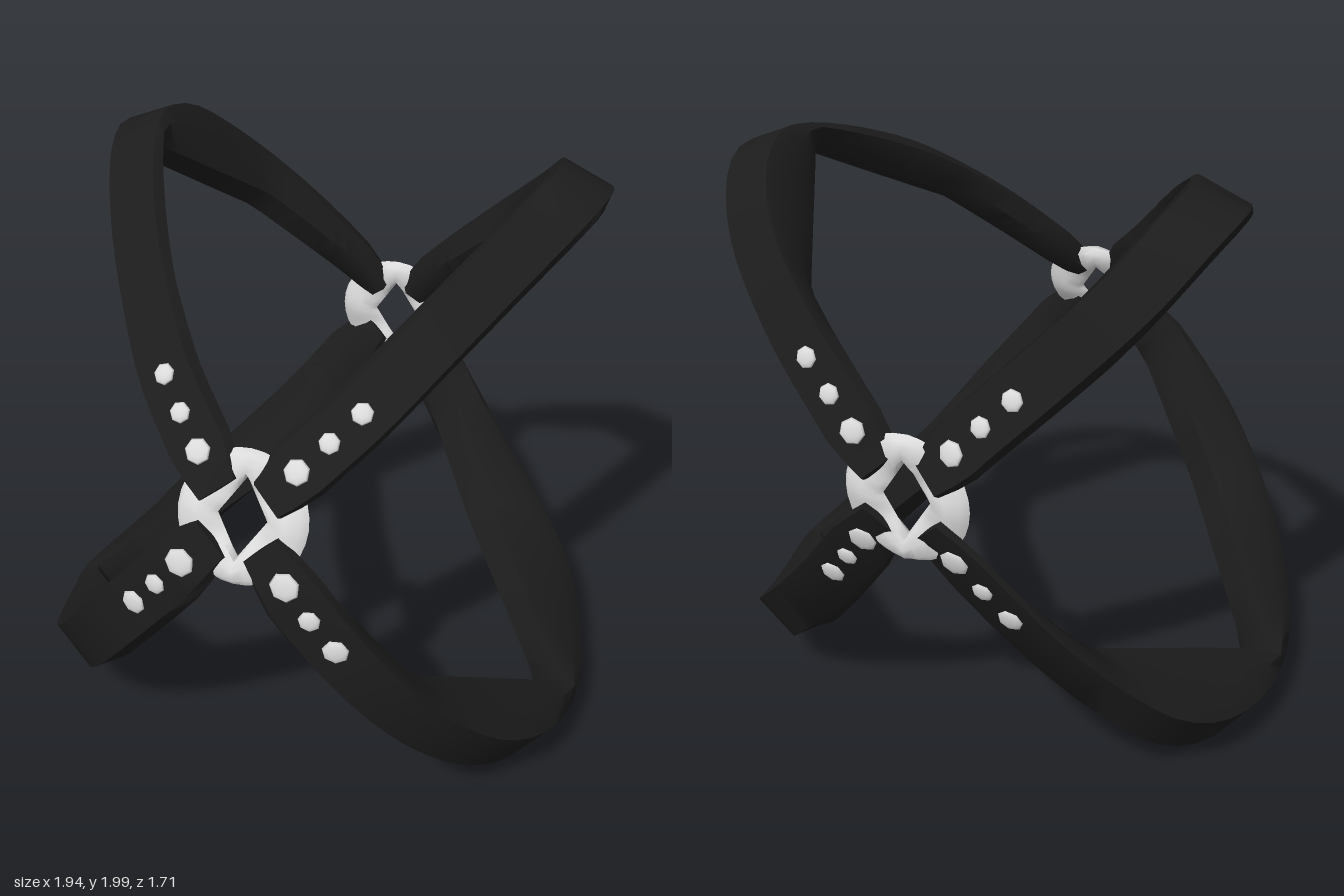
import * as THREE from 'three';
import { toCreasedNormals } from 'three/addons/utils/BufferGeometryUtils.js';

const V = (a) => new THREE.Vector3(a[0], a[1], a[2]);
const leather = new THREE.MeshStandardMaterial({ color: 0x1c1c1c });
leather.name = 'black leather';
const metal = new THREE.MeshStandardMaterial({ color: 0xdadada });
metal.name = 'pale metal';

// Each strap runs from the front ring, round the side, to the back ring.
// outer: smooth outside line, inner: faceted inside line,
// front/tip/back: half-width vectors along the way
const STRAPS = {
  upper: {
    outer: [[0.08, 1.275, 0.735], [0.165, 1.37, 0.675], [0.32, 1.53, 0.55], [0.45, 1.675, 0.385], [0.585, 1.82, 0.17],
      [0.72, 1.94, -0.13], [0.755, 1.965, -0.3], [0.725, 1.92, -0.45], [0.62, 1.77, -0.615], [0.42, 1.55, -0.745],
      [0.22, 1.34, -0.81], [0.08, 1.18, -0.835]],
    inner: [[0.07, 1.255, 0.68], [0.27, 1.46, 0.505], [0.42, 1.63, 0.34], [0.71, 1.91, -0.16], [0.47, 1.56, -0.6],
      [0.18, 1.27, -0.75], [0.07, 1.16, -0.775]],
    front: [-0.075, 0.053, -0.04], tip: [-0.092, 0.037, 0], back: [-0.07, 0.063, 0.03],
    studs: [0.042, 0.034, 0.035],
  },
  lower: {
    outer: [[0.08, 1.13, 0.795], [0.165, 1.05, 0.825], [0.25, 0.95, 0.84], [0.46, 0.69, 0.81], [0.63, 0.46, 0.705],
      [0.775, 0.265, 0.53], [0.87, 0.15, 0.33], [0.912, 0.1, 0.13], [0.91, 0.087, -0.07], [0.85, 0.12, -0.29],
      [0.745, 0.23, -0.49], [0.57, 0.41, -0.625], [0.38, 0.62, -0.72], [0.18, 0.87, -0.8], [0.08, 0.995, -0.835]],
    inner: [[0.07, 1.11, 0.735], [0.2, 0.95, 0.77], [0.47, 0.555, 0.61], [0.885, 0.185, 0.08], [0.44, 0.455, -0.51],
      [0.2, 0.81, -0.73], [0.07, 1.0, -0.775]],
    front: [0.077, 0.07, -0.02], tip: [0.06, 0.088, 0], back: [0.075, 0.068, -0.025],
    studs: [0.049, 0.036, 0.043],
  },
};

// Width vector along the strap: narrow at the rings, turned at the side
function widthAt(s, t) {
  const w = V(s.front).lerp(V(s.back), t).lerp(V(s.tip), Math.sin(Math.PI * t) ** 4);
  return w.multiplyScalar(Math.min(1, 0.68 + Math.min(t, 1 - t) * 7));
}

// Six-sided sections swept between the outer and inner lines
function strapGeometry(s, side) {
  const outer = new THREE.CatmullRomCurve3(s.outer.map(V));
  const inner = new THREE.CatmullRomCurve3(s.inner.map(V), false, 'catmullrom', 0);
  const N = 36, pos = [], idx = [];
  const tri = (a, b, c) => (side > 0 ? idx.push(a, b, c) : idx.push(a, c, b));
  for (let i = 0; i <= N; i++) {
    const t = i / N;
    const o = outer.getPointAt(t), n = inner.getPointAt(t), m = o.clone().lerp(n, 0.4), w = widthAt(s, t);
    for (const [p, k] of [[o, 0.9], [o, -0.9], [m, -1.05], [n, -0.55], [n, 0.55], [m, 1.05]]) {
      const q = p.clone().addScaledVector(w, k);
      pos.push(q.x * side, q.y, q.z);
    }
  }
  for (let i = 0; i < N; i++) {
    for (let j = 0; j < 6; j++) {
      const a = i * 6 + j, b = i * 6 + (j + 1) % 6;
      tri(a, b, a + 6);
      tri(b, b + 6, a + 6);
    }
  }
  // end caps
  for (let j = 1; j < 5; j++) {
    tri(0, j + 1, j);
    tri(N * 6, N * 6 + j, N * 6 + j + 1);
  }
  const g = new THREE.BufferGeometry();
  g.setAttribute('position', new THREE.Float32BufferAttribute(pos, 3));
  g.setIndex(idx);
  return toCreasedNormals(g, 0.9);
}

// Three low domes near each end of a strap
function addStuds(group, s, side) {
  const curve = new THREE.CatmullRomCurve3(s.outer.map(V));
  const len = curve.getLength();
  for (const end of ['front', 'back']) {
    s.studs.forEach((r, i) => {
      const d = (0.13 + i * 0.13) / len;
      const t = end === 'front' ? d : 1 - d;
      const n = widthAt(s, t).cross(curve.getTangentAt(t)).normalize();
      const p = curve.getPointAt(t);
      // point the dome away from the middle of the loop
      if (n.z * p.z < 0) n.negate();
      n.x *= side;
      p.x *= side;
      const g = new THREE.SphereGeometry(r, 7, 3, 0, Math.PI * 2, 0, Math.PI / 2);
      g.scale(1, 0.013 / r, 1);
      const stud = new THREE.Mesh(g, metal);
      stud.name = end + 'Stud';
      stud.position.copy(p);
      stud.quaternion.setFromUnitVectors(new THREE.Vector3(0, 1, 0), n);
      group.add(stud);
    });
  }
}

// Round ring with a diamond-shaped opening, thinner where the straps wrap it
function ringGeometry() {
  const U = 32, R = 8;
  const g = new THREE.TorusGeometry(1, 0.5, R, U);
  const p = g.attributes.position;
  for (let j = 0; j <= R; j++) {
    for (let i = 0; i <= U; i++) {
      const u = (i / U) * Math.PI * 2, v = (j / R) * Math.PI * 2;
      const hole = 1 / (Math.abs(Math.cos(u)) / 0.08 + Math.abs(Math.sin(u)) / 0.125);
      const r = THREE.MathUtils.lerp(hole, 0.212, (1 + Math.cos(v)) / 2);
      const depth = 0.012 + 0.022 * Math.cos(2 * u) ** 2;
      p.setXYZ(j * (U + 1) + i, r * Math.cos(u), r * Math.sin(u), depth * Math.sin(v));
    }
  }
  return toCreasedNormals(g, 0.9);
}

export function createModel() {
  const model = new THREE.Group();
  model.name = 'crossStrapHarness';

  for (const [name, s] of Object.entries(STRAPS)) {
    for (const side of [1, -1]) {
      const group = new THREE.Group();
      group.name = name + (side > 0 ? 'Left' : 'Right') + 'Strap';
      const band = new THREE.Mesh(strapGeometry(s, side), leather);
      band.name = 'band';
      group.add(band);
      addStuds(group, s, side);
      model.add(group);
    }
  }

  // Rings joining the straps: the front one leans back
  for (const [name, y, z, tilt] of [['frontRing', 1.19, 0.725, -0.43], ['backRing', 1.08, -0.8, 0.02]]) {
    const ring = new THREE.Mesh(ringGeometry(), metal);
    ring.name = name;
    ring.position.set(0, y, z);
    ring.rotation.x = tilt;
    model.add(ring);
  }
  return model;
}
